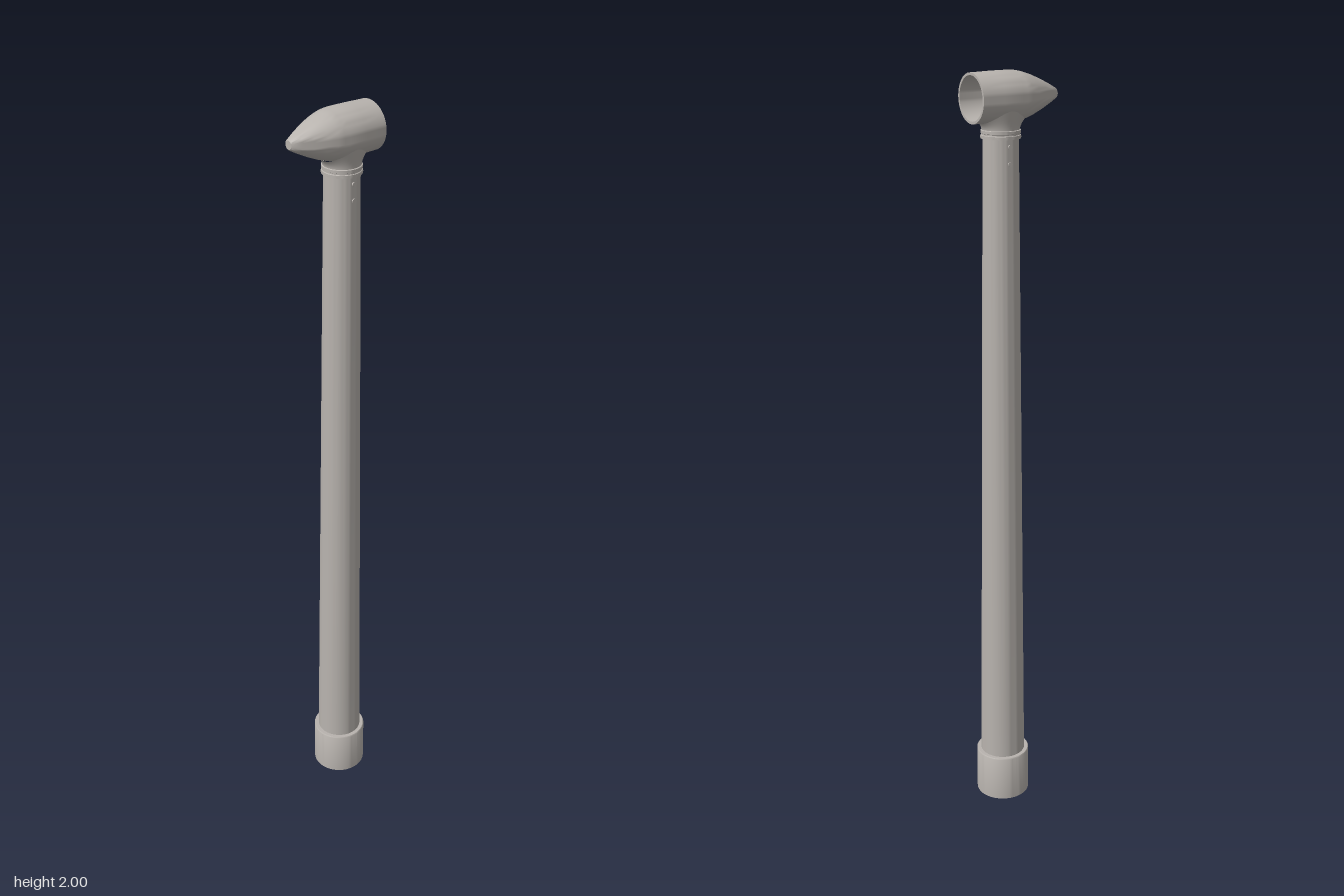
import * as THREE from 'three';
import { toCreasedNormals } from 'three/addons/utils/BufferGeometryUtils.js';

const POLE_Z = -0.037;   // axis of the pole
const HEAD_Y = 1.938;    // axis of the head
const HEAD_RX = 0.064, HEAD_RY = 0.061;

export function createModel() {
  const model = new THREE.Group();
  model.name = 'ventPost';
  const metal = new THREE.MeshStandardMaterial({ color: 0xb8b3ae });
  metal.name = 'warmGrey';

  const add = (name, geometry, x, y, z) => {
    const mesh = new THREE.Mesh(geometry, metal);
    mesh.name = name;
    mesh.position.set(x, y, z);
    model.add(mesh);
    return mesh;
  };
  const lathe = (points) => toCreasedNormals(
    new THREE.LatheGeometry(points.map(([r, y]) => new THREE.Vector2(r, y)), 48), 0.6);

  // Base sleeve, tapered pole and ringed collar
  add('base', lathe([[0, 0], [0.073, 0], [0.073, 0.128], [0.071, 0.131], [0.058, 0.131]]), 0, 0, POLE_Z);
  add('pole', lathe([[0.061, 0.12], [0.044, 1.85]]), 0, 0, POLE_Z);
  add('collar', lathe([
    [0.043, 1.841], [0.049, 1.841], [0.05, 1.845], [0.049, 1.849], [0.047, 1.85],
    [0.047, 1.853], [0.049, 1.854], [0.049, 1.861], [0.044, 1.863],
  ]), 0, 0, POLE_Z);

  // Neck flaring from a circle into a saddle under the head
  const neck = new THREE.CylinderGeometry(1, 1, 1, 48, 8, true);
  const p = neck.attributes.position;
  for (let i = 0; i < p.count; i++) {
    const t = p.getY(i) + 0.5;
    const r = 0.046 + 0.011 * t * t;
    const x = p.getX(i) * r;
    const saddle = HEAD_Y - (HEAD_RY - 0.003) * Math.sqrt(1 - (x / HEAD_RX) ** 2);
    p.setXYZ(i, x, 1.858 + (saddle - 1.858) * t, p.getZ(i) * r);
  }
  neck.computeVertexNormals();
  add('neck', neck, 0, 0, POLE_Z);

  // Bullet-shaped head, hollow from the back; profile runs inside, rim, outside, nose
  const k = HEAD_RX;
  const head = lathe([
    [0, 0.045], [0.03, 0.035], [0.048, 0.01], [0.056, -0.02], [0.056, -0.118],
    [0.0625, -0.118], [0.0628, -0.1], [k, -0.06], [k, -0.01], [0.0625, 0.004],
    [0.0585, 0.02], [0.051, 0.042], [0.038, 0.071], [0.025, 0.096], [0.0135, 0.116],
    [0.011, 0.118], [0, 0.118],
  ]);
  head.rotateX(Math.PI / 2);
  head.scale(1, HEAD_RY / HEAD_RX, 1);
  add('head', head, 0, HEAD_Y, 0);

  // Two small bolts on each side below the collar
  for (const side of [-1, 1]) {
    for (const y of [1.824, 1.783]) {
      const bolt = add('bolt', new THREE.CylinderGeometry(0.006, 0.006, 0.008, 12), side * 0.043, y, POLE_Z);
      bolt.rotation.z = Math.PI / 2;
    }
  }
  return model;
}
